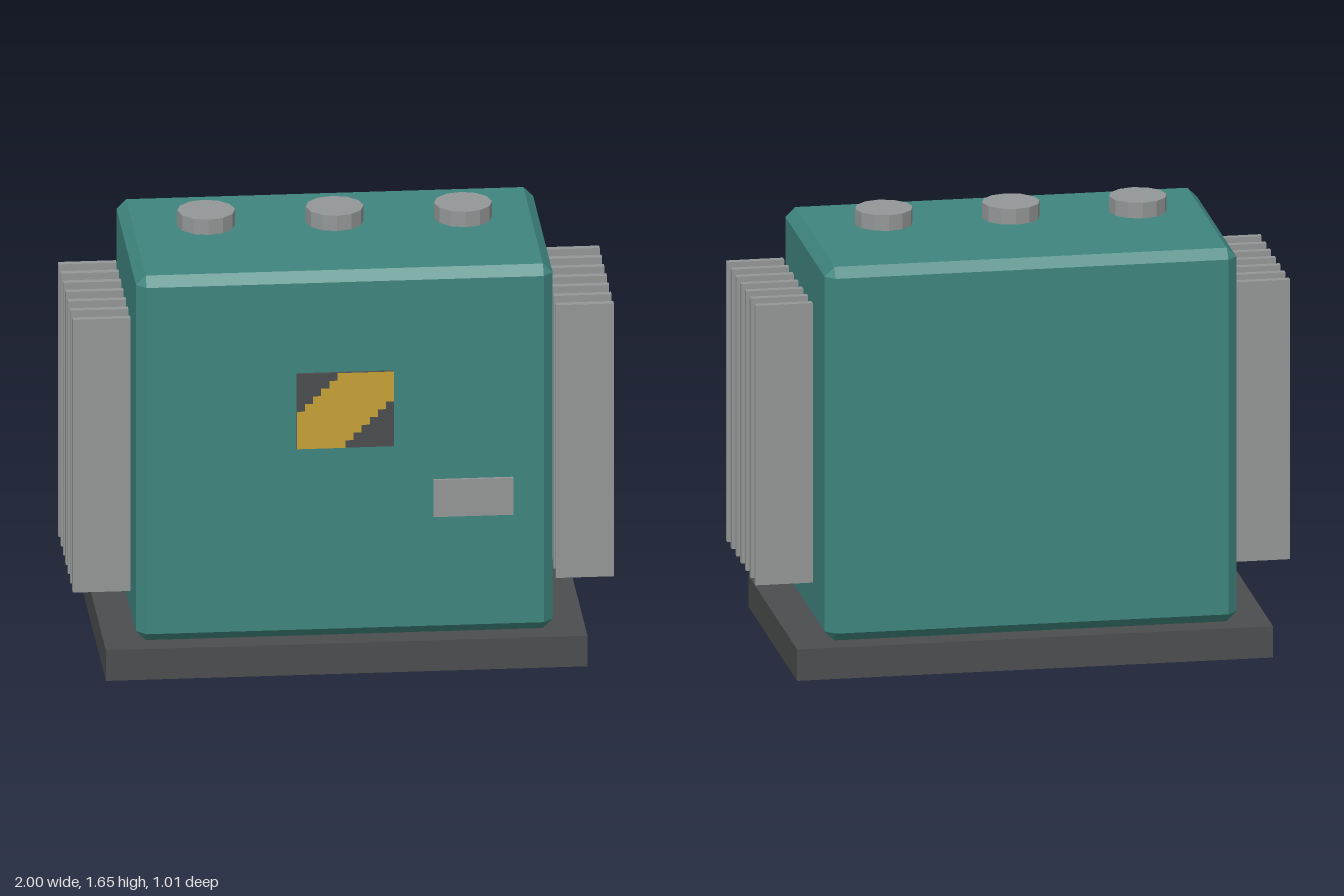
import * as THREE from 'three';
import { ConvexGeometry } from 'three/addons/geometries/ConvexGeometry.js';

const material = (name, color) => {
  const m = new THREE.MeshStandardMaterial({ color });
  m.name = name;
  return m;
};

// Box with every edge cut at 45 degrees: three corner points per corner
function chamferedBox(w, h, d, c) {
  const points = [];
  for (const sx of [-1, 1]) for (const sy of [-1, 1]) for (const sz of [-1, 1]) {
    const x = w / 2, y = h / 2, z = d / 2;
    points.push(
      new THREE.Vector3(sx * x, sy * (y - c), sz * (z - c)),
      new THREE.Vector3(sx * (x - c), sy * y, sz * (z - c)),
      new THREE.Vector3(sx * (x - c), sy * (y - c), sz * z));
  }
  return new ConvexGeometry(points);
}

export function createModel() {
  const model = new THREE.Group();
  model.name = 'transformer';
  const teal = material('teal paint', 0x3f857e);
  const steel = material('grey metal', 0x949797);
  const dark = material('dark grey', 0x4b4d4e);
  const yellow = material('warning yellow', 0xc6a237);

  function add(name, geometry, mat, x, y, z) {
    const mesh = new THREE.Mesh(geometry, mat);
    mesh.name = name;
    mesh.position.set(x, y, z);
    model.add(mesh);
    return mesh;
  }

  // Plinth and tank
  add('base', new THREE.BoxGeometry(1.78, 0.12, 1.01), dark, 0, 0.06, 0);
  add('tank', chamferedBox(1.54, 1.43, 0.89, 0.036), teal, 0, 0.835, 0);

  // Cooling fins on both sides
  const finGeometry = new THREE.BoxGeometry(0.214, 1.07, 0.027);
  for (const side of [-1, 1]) {
    for (let i = 0; i < 7; i++) {
      add('coolingFin', finGeometry, steel, side * 0.893, 0.835, -0.238 + i * 0.099);
    }
  }

  // Three caps hovering above the lid
  const capGeometry = new THREE.CylinderGeometry(0.107, 0.107, 0.06, 12).toNonIndexed();
  capGeometry.computeVertexNormals();
  for (const x of [-0.475, 0, 0.475]) add('cap', capGeometry, steel, x, 1.62, 0);

  // Warning sign: dark plate with a stepped diagonal yellow band
  add('signPlate', new THREE.BoxGeometry(0.36, 0.294, 0.01), dark, 0, 1.015, 0.45);
  const cell = (col, row) => new THREE.Vector2(-0.18 + col * 0.03, 0.147 - row * 0.0294);
  const outline = [];
  for (let i = 0; i < 5; i++) outline.push(cell(5 - i, i), cell(5 - i, i + 1));
  outline.push(cell(0, 5), cell(0, 10));
  for (let i = 0; i < 6; i++) outline.push(cell(6 + i, 10 - i), cell(6 + i, 9 - i));
  outline.push(cell(12, 4), cell(12, 0));
  add('signStripe', new THREE.ShapeGeometry(new THREE.Shape(outline)), yellow, 0, 1.015, 0.457);

  // Blank rating plate
  add('ratingPlate', new THREE.BoxGeometry(0.295, 0.145, 0.012), steel, 0.473, 0.658, 0.451);

  return model;
}
